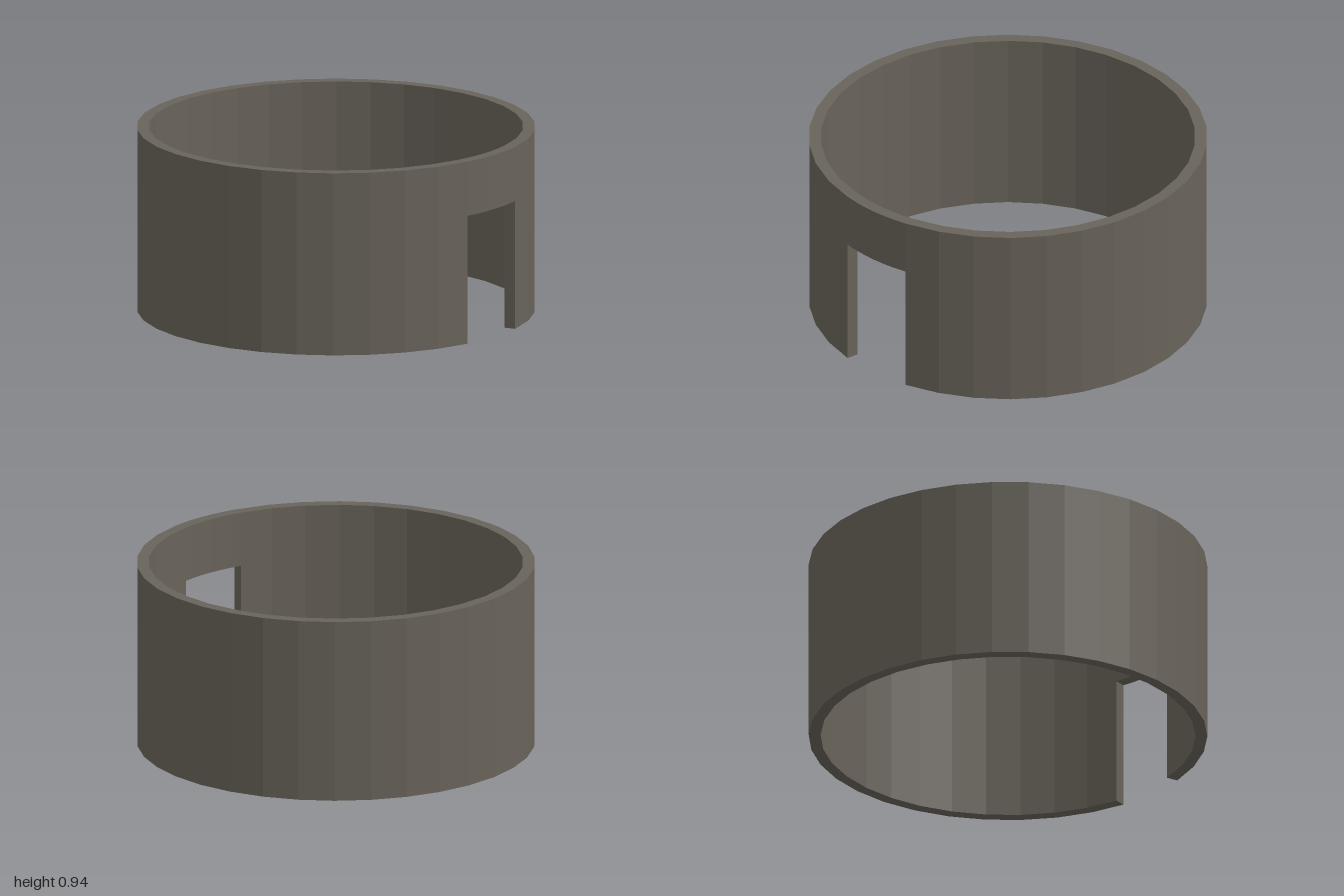
import * as THREE from 'three';

const OUTER = 1, INNER = 0.94, HEIGHT = 0.94, DOOR_TOP = 0.66;
const DOOR_HALF = 0.198; // half angle of the doorway, in radians

// Point on the ring; angle 0 is the front (+z), growing towards +x
const at = (a, r, y) => [r * Math.sin(a), y, r * Math.cos(a)];

// Curved wall section from angle a0 to a1, without end caps
function arcQuads(a0, a1, segments, bottom) {
  const quads = [];
  for (let i = 0; i < segments; i++) {
    const a = a0 + ((a1 - a0) * i) / segments;
    const b = a0 + ((a1 - a0) * (i + 1)) / segments;
    quads.push(
      [at(a, OUTER, bottom), at(b, OUTER, bottom), at(b, OUTER, HEIGHT), at(a, OUTER, HEIGHT)], // outside
      [at(b, INNER, bottom), at(a, INNER, bottom), at(a, INNER, HEIGHT), at(b, INNER, HEIGHT)], // inside
      [at(a, OUTER, HEIGHT), at(b, OUTER, HEIGHT), at(b, INNER, HEIGHT), at(a, INNER, HEIGHT)], // rim
      [at(a, INNER, bottom), at(b, INNER, bottom), at(b, OUTER, bottom), at(a, OUTER, bottom)], // underside
    );
  }
  return quads;
}

// Radial side face of the doorway
function jambQuad(a, flip) {
  const q = [at(a, INNER, 0), at(a, OUTER, 0), at(a, OUTER, DOOR_TOP), at(a, INNER, DOOR_TOP)];
  return flip ? q.reverse() : q;
}

function quadMesh(name, quads, material) {
  const corners = quads.flatMap(([a, b, c, d]) => [a, b, c, a, c, d]);
  const geometry = new THREE.BufferGeometry();
  geometry.setAttribute('position', new THREE.Float32BufferAttribute(corners.flat(), 3));
  geometry.computeVertexNormals(); // unshared corners give flat facets
  const mesh = new THREE.Mesh(geometry, material);
  mesh.name = name;
  return mesh;
}

export function createModel() {
  const stone = new THREE.MeshStandardMaterial({ color: 0x68635a });
  stone.name = 'dark stone';

  const group = new THREE.Group();
  group.name = 'roundWall';
  group.add(
    quadMesh('wall', arcQuads(DOOR_HALF, 2 * Math.PI - DOOR_HALF, 32, 0), stone),
    quadMesh('doorLintel', arcQuads(-DOOR_HALF, DOOR_HALF, 6, DOOR_TOP), stone),
    quadMesh('doorJambs', [jambQuad(DOOR_HALF, false), jambQuad(-DOOR_HALF, true)], stone),
  );
  return group;
}
